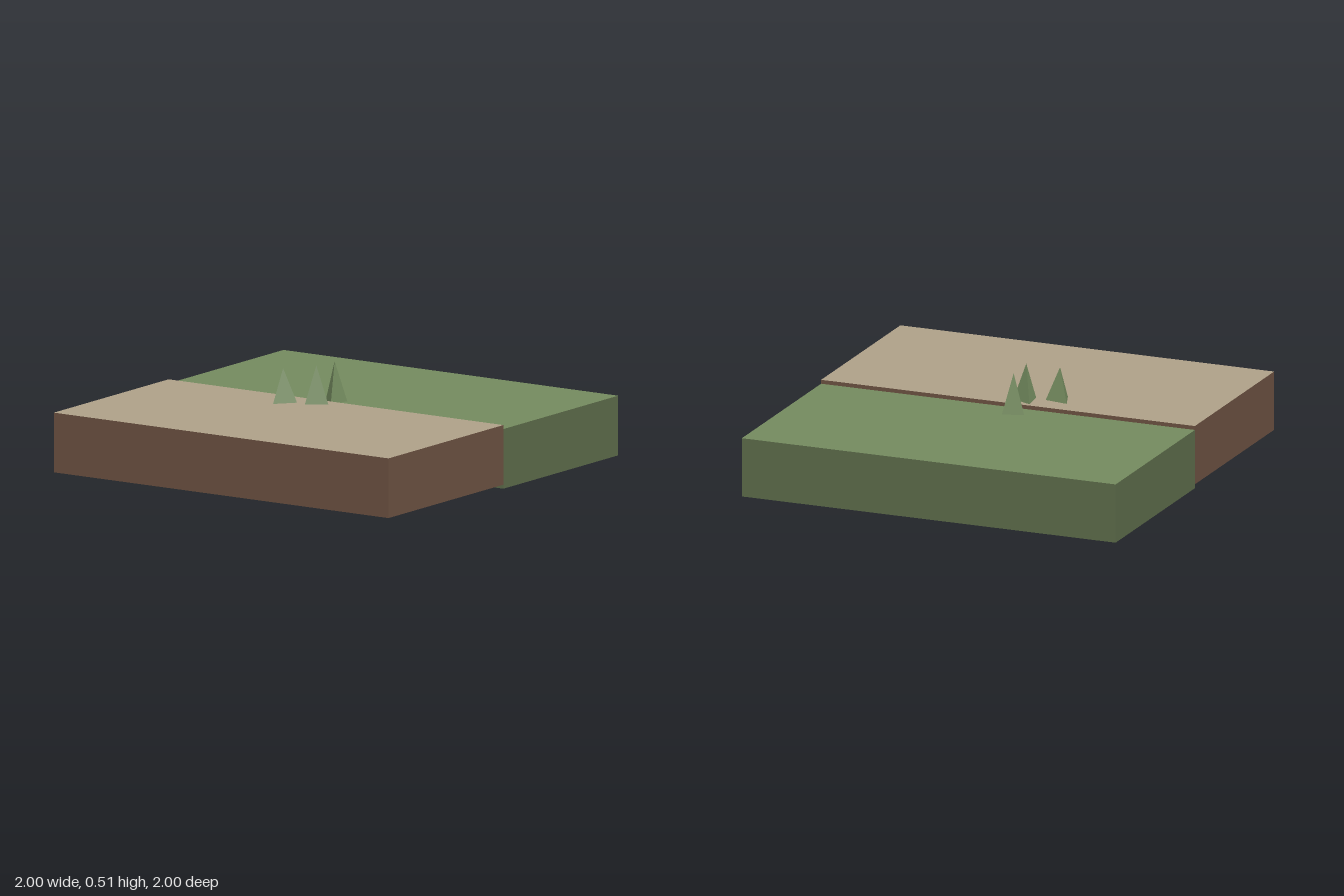
import * as THREE from 'three';

const flat = (name, color) => {
  const m = new THREE.MeshStandardMaterial({ color, side: THREE.DoubleSide, flatShading: true });
  m.name = name;
  return m;
};

export function createModel() {
  const soil = flat('soil brown', 0x6a5040);
  const sand = flat('sand tan', 0xaea088);
  const grass = flat('grass green', 0x738a5e);
  const turf = flat('turf side green', 0x5b6a49);

  const model = new THREE.Group();
  model.name = 'terrainTiles';

  // Thin sheet of size w x h, turned and placed
  const sheet = (parent, name, material, w, h, pos, rx = 0, ry = 0) => {
    const mesh = new THREE.Mesh(new THREE.PlaneGeometry(w, h), material);
    mesh.name = name;
    mesh.position.set(...pos);
    mesh.rotation.set(rx, ry, 0);
    parent.add(mesh);
  };

  // Hollow tile, open underneath: 2 wide, 1 deep, 0.3 high; dir is +1 front, -1 back
  const tile = (name, dir, base, side, top) => {
    const g = new THREE.Group();
    g.name = name;
    const y = base + 0.15, z = dir * 0.5;
    sheet(g, 'topSurface', top, 2, 1, [0, base + 0.3, z], -Math.PI / 2);
    sheet(g, 'outerWall', side, 2, 0.3, [0, y, dir], 0, dir > 0 ? 0 : Math.PI);
    for (const s of [-1, 1]) sheet(g, 'endWall', side, 1, 0.3, [s, y, z], 0, s * Math.PI / 2);
    model.add(g);
    return g;
  };
  const sandTile = tile('sandTile', 1, 0.02, soil, sand);
  const grassTile = tile('grassTile', -1, 0, turf, grass);

  // Shared wall between the tiles, with the lower green lip
  sheet(sandTile, 'middleWall', soil, 2, 0.3, [0, 0.17, 0], 0, Math.PI);
  sheet(grassTile, 'middleWallLip', turf, 2, 0.02, [0, 0.01, 0]);

  // Three-sided trees: x, z, ground height, radius, height, turn
  const trees = [
    [-0.066, -0.084, 0.30, 0.064, 0.205, 0.30],
    [-0.066, 0.075, 0.32, 0.067, 0.19, 1.68],
    [-0.218, 0.143, 0.32, 0.071, 0.17, -0.17],
  ];
  for (const [x, z, ground, r, h, turn] of trees) {
    const tree = new THREE.Mesh(new THREE.ConeGeometry(r, h, 3, 1, true), grass);
    tree.name = 'tree';
    tree.position.set(x, ground + h / 2, z);
    tree.rotation.y = turn;
    model.add(tree);
  }
  return model;
}
